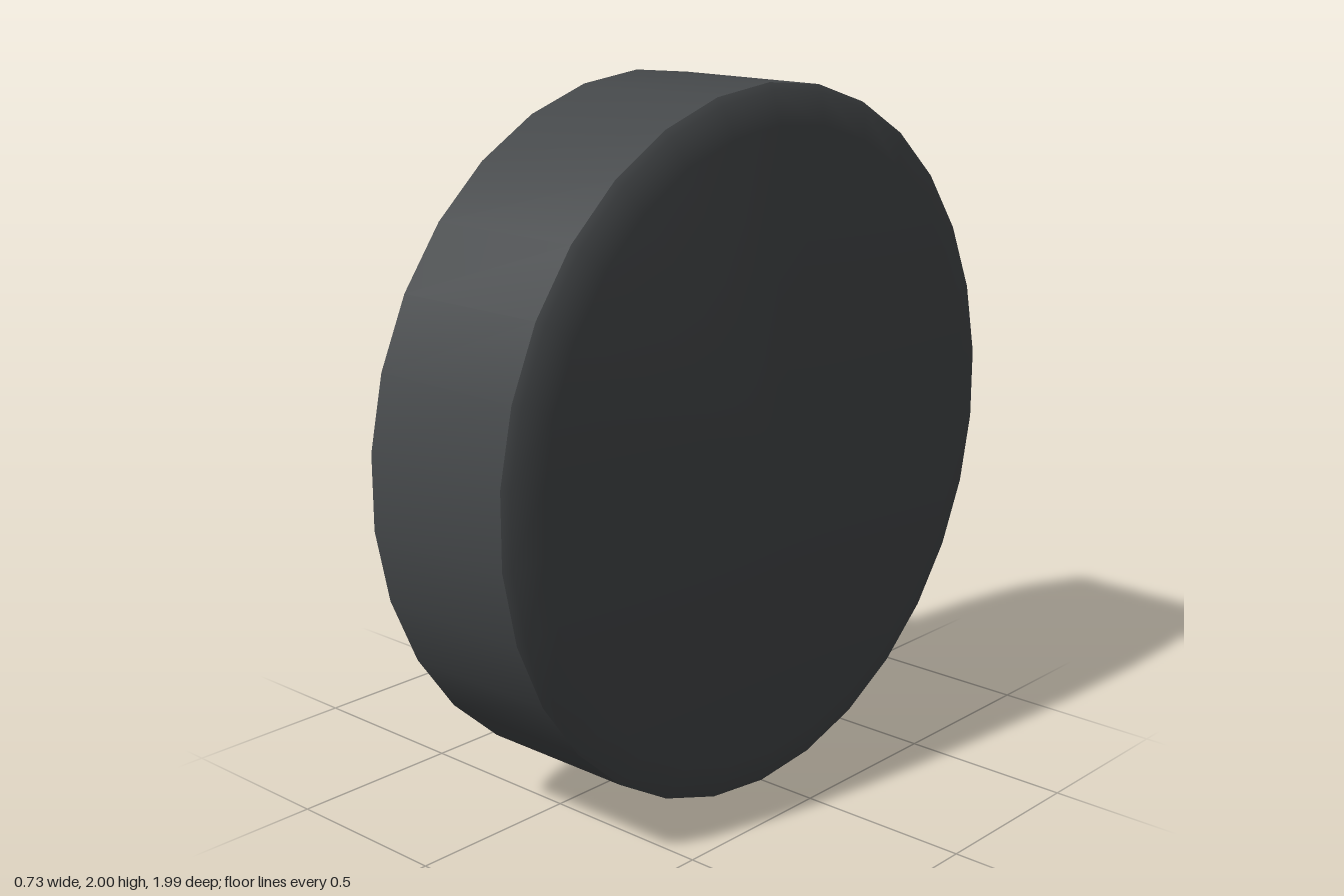
import * as THREE from 'three';
import { toCreasedNormals } from 'three/addons/utils/BufferGeometryUtils.js';

const rubber = new THREE.MeshStandardMaterial({ color: 0x45484a });
const metal = new THREE.MeshStandardMaterial({ color: 0xcccccc });

// Revolve [radius, height] pairs around the axle (local y)
function revolve(name, profile, sides, start, material, crease) {
  const points = profile.map(([r, h]) => new THREE.Vector2(r, h));
  const geometry = toCreasedNormals(new THREE.LatheGeometry(points, sides, start), crease);
  const mesh = new THREE.Mesh(geometry, material);
  mesh.name = name;
  return mesh;
}

export function createModel() {
  const model = new THREE.Group();
  model.name = 'wheel';

  // Everything is built along y, then turned so the hub points to -x
  const wheel = new THREE.Group();
  wheel.name = 'wheelAssembly';
  wheel.rotation.z = Math.PI / 2;
  wheel.position.y = 1;
  model.add(wheel);

  // Tyre: closed flat inner side, bevelled tread, open hub side
  wheel.add(revolve('tyre', [
    [0, -0.36], [0.89, -0.36], [0.98, -0.335], [1, -0.32], [1, 0.16], [0.985, 0.175],
    [0.88, 0.23], [0.66, 0.25], [0.55, 0.235], [0.54, 0.1],
  ], 30, Math.PI / 2, rubber, 0.7));

  // Rim: dish behind the tyre lip, rising as a cone to the hub
  wheel.add(revolve('rim', [
    [0.56, 0.22], [0.535, 0.13], [0.5, 0.12], [0.46, 0.185],
    [0.42, 0.25], [0.375, 0.31], [0.36, 0.325],
  ], 30, Math.PI / 2, metal, 0.7));

  // Hub cap: eight-sided collar with a groove behind it
  wheel.add(revolve('hubCap', [
    [0.36, 0.3], [0.41, 0.315], [0.433, 0.33], [0.425, 0.37], [0.27, 0.37],
  ], 8, Math.PI / 8, metal, 0.7));

  // Recess in the middle of the cap, with sloping walls
  wheel.add(revolve('hubRecess', [
    [0.27, 0.37], [0.21, 0.27], [0, 0.27],
  ], 8, Math.PI / 8, metal, 0.3));

  // Ring of hexagonal wheel nuts set into the cone
  const nutGeometry = toCreasedNormals(new THREE.CylinderGeometry(0.07, 0.07, 0.12, 6), 0.3);
  for (let i = 0; i < 10; i++) {
    const angle = (i + 0.25) * Math.PI / 5;
    const nut = new THREE.Mesh(nutGeometry, metal);
    nut.name = 'wheelNut' + (i + 1);
    nut.position.set(0.46 * Math.cos(angle), 0.16, 0.46 * Math.sin(angle));
    nut.rotation.y = -angle;
    wheel.add(nut);
  }

  return model;
}
